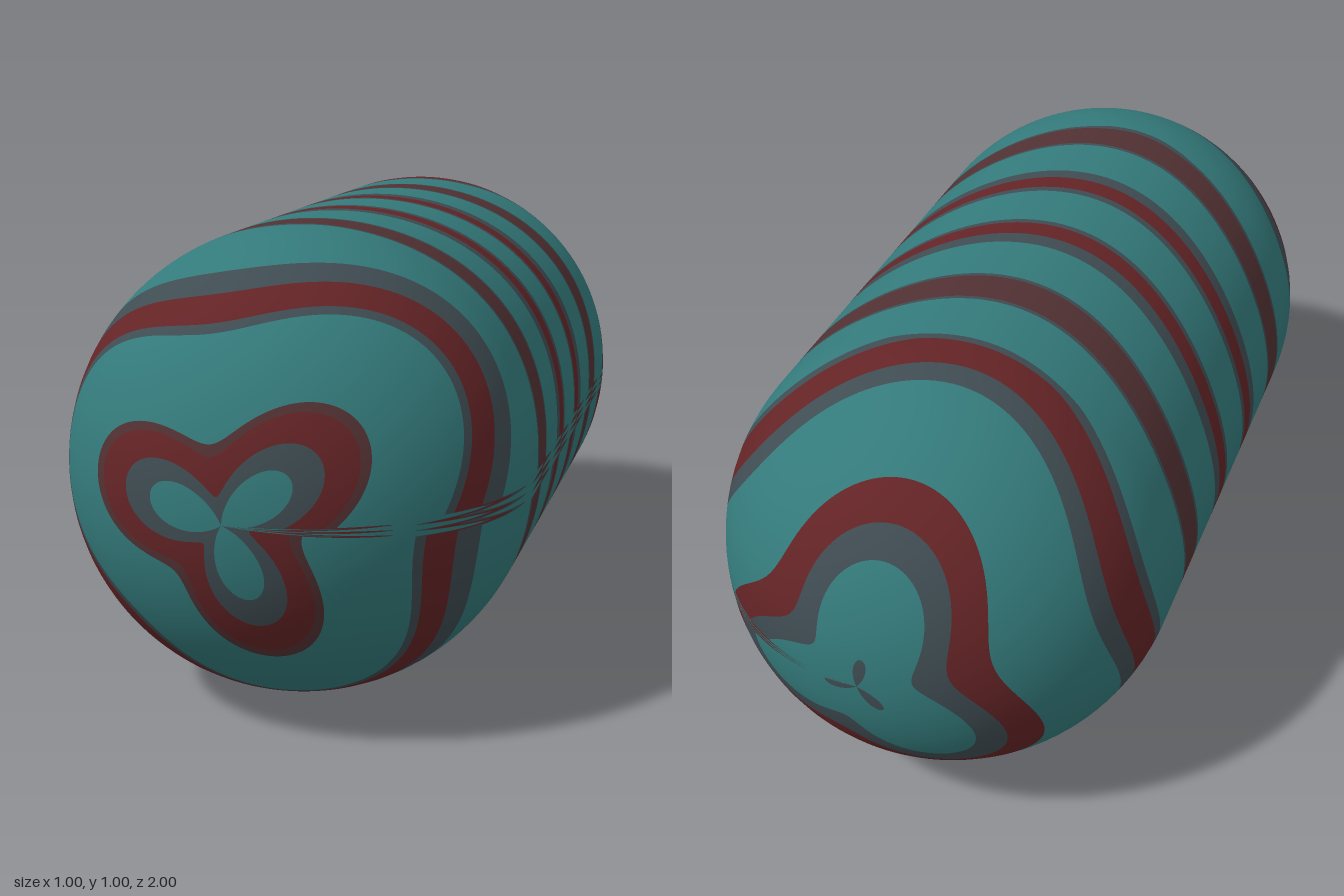
import * as THREE from 'three';

const R = 0.5;
const DEG = Math.PI / 180;
const SEAM = 354.4;           // start of the narrow seam wedge, in degrees
const STRIPE_HALF = 0.21;

const mat = (name, color) => {
  const m = new THREE.MeshStandardMaterial({ color });
  m.name = name;
  return m;
};

// Three-lobed wave that shifts the stripes along the axis
const wave = (deg) => 0.22 * Math.cos((2 * Math.PI * (deg - 100)) / 126);

// Columns around the axis: real angle and wave shift; the seam wedge squeezes the whole wave backwards
function makeColumns() {
  const cols = [];
  for (let i = 0; i <= 180; i++) {
    const a = (SEAM * i) / 180;
    cols.push({ a: a * DEG, shift: wave(a) });
  }
  for (let i = 1; i <= 72; i++) {
    const t = i / 72;
    cols.push({ a: (SEAM + (360 - SEAM) * t) * DEG, shift: wave(SEAM * (1 - t)) });
  }
  return cols;
}

// Capsule surface: w in [-4,-2] back cap, [-2,2] barrel, [2,4] front cap
function surface(w, a) {
  w = THREE.MathUtils.clamp(w, -4, 4);
  const over = Math.sign(w) * Math.max(0, Math.abs(w) - 2);
  const lat = (over * Math.PI) / 4;
  const n = [Math.cos(lat) * Math.cos(a), Math.cos(lat) * Math.sin(a), Math.sin(lat)];
  const z = THREE.MathUtils.clamp(w, -2, 2) / 4;
  return { n, p: [R * n[0], R + R * n[1], z + R * n[2]] };
}

// Band of surface between two wavy edges
function band(cols, from, to, steps) {
  const pos = [], nor = [], idx = [];
  const edge = (w, shift) => (Math.abs(w) > 5 ? w : w + shift);
  for (const { a, shift } of cols) {
    const w0 = THREE.MathUtils.clamp(edge(from, shift), -4, 4);
    const w1 = THREE.MathUtils.clamp(edge(to, shift), -4, 4);
    for (let j = 0; j <= steps; j++) {
      const s = surface(w0 + ((w1 - w0) * j) / steps, a);
      pos.push(...s.p);
      nor.push(...s.n);
    }
  }
  const row = steps + 1;
  for (let i = 0; i < cols.length - 1; i++) {
    for (let j = 0; j < steps; j++) {
      const a = i * row + j, b = a + row;
      idx.push(a, b, b + 1, a, b + 1, a + 1);
    }
  }
  const g = new THREE.BufferGeometry();
  g.setAttribute('position', new THREE.Float32BufferAttribute(pos, 3));
  g.setAttribute('normal', new THREE.Float32BufferAttribute(nor, 3));
  g.setIndex(idx);
  return g;
}

export function createModel() {
  const group = new THREE.Group();
  group.name = 'stripedCapsule';
  const teal = mat('teal', 0x347a7b);
  const red = mat('darkRed', 0x642426);
  const brown = mat('redBrown', 0x523133);
  const grey = mat('slateGrey', 0x3f4c52);
  const cols = makeColumns();

  const add = (name, from, to, steps, material) => {
    const mesh = new THREE.Mesh(band(cols, from, to, steps), material);
    mesh.name = name;
    group.add(mesh);
  };

  // Colour layout of each stripe from back to front: [material, end offset]
  const half = STRIPE_HALF;
  const layouts = [
    [[grey, half]],
    [[grey, -0.02], [red, half]],
    [[grey, -0.08], [red, 0.14], [grey, half]],
    [[grey, -0.17], [brown, 0.17], [grey, half]],
    [[grey, -0.05], [red, 0.15], [grey, half]],
    [[grey, -0.13], [red, 0.07], [grey, half]],
    [[grey, -0.17], [brown, 0.17], [grey, half]],
    [[grey, -0.04], [red, 0.15], [grey, half]],
    [[brown, -0.15], [red, 0.04], [grey, half]],
  ];

  // Alternate plain body bands and stripes along the axis
  let last = -9;
  layouts.forEach((layout, i) => {
    const centre = 0.98 * (i - 4) - 0.32;
    let from = centre - half;
    add('body' + i, last, from, 8, teal);
    layout.forEach(([material, end], j) => {
      add('stripe' + i + 'part' + j, from, centre + end, 2, material);
      from = centre + end;
    });
    last = from;
  });
  add('frontBody', last, 9, 8, teal);
  return group;
}
